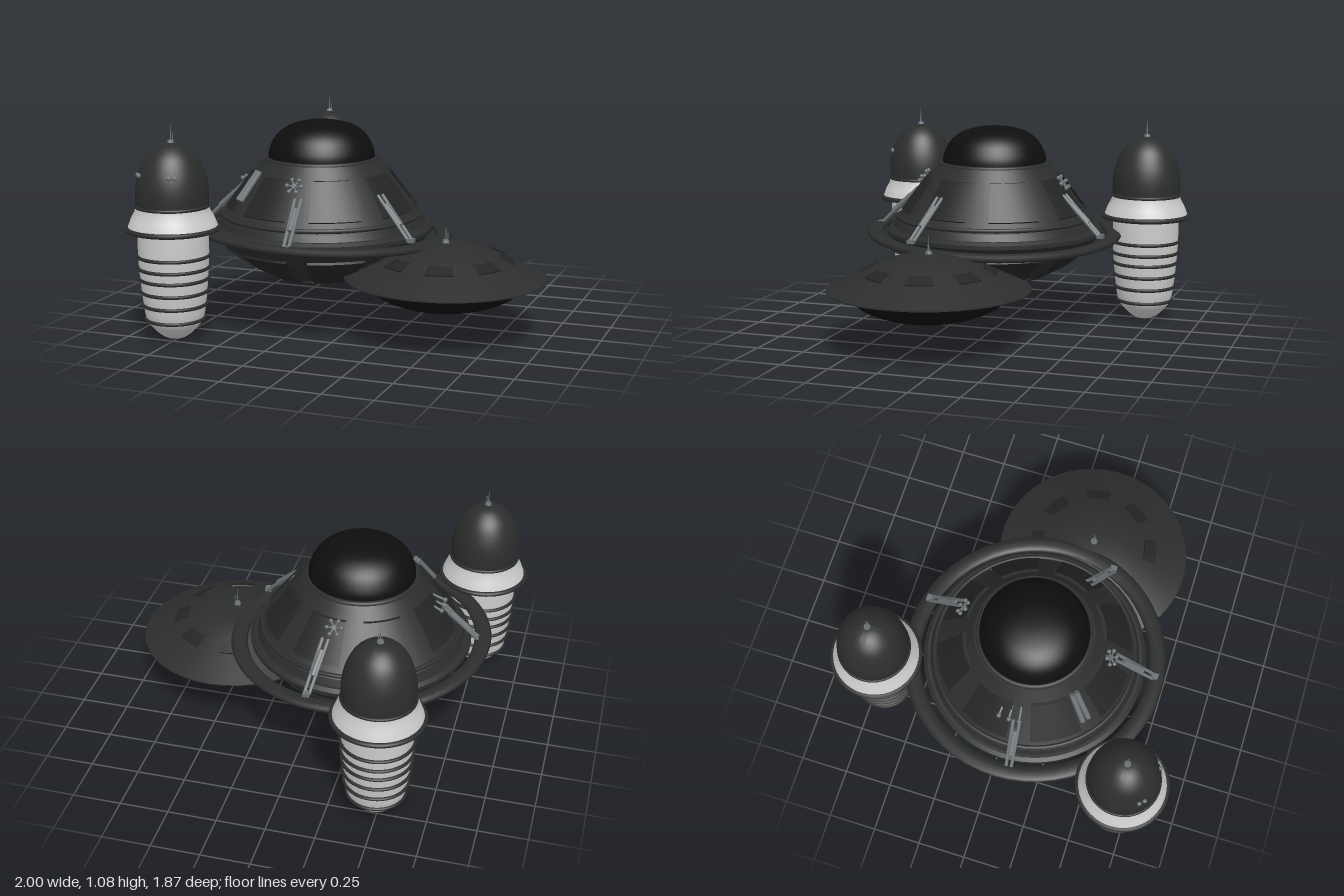
import * as THREE from 'three';
import { toCreasedNormals } from 'three/addons/utils/BufferGeometryUtils.js';

const paint = (color) => new THREE.MeshStandardMaterial({ color, side: THREE.DoubleSide });
const DEG = Math.PI / 180;

export function createModel() {
  const model = new THREE.Group();
  const grey = paint(0xcccccc), dark = paint(0x2b2e2d), panelMat = paint(0x232524);
  const black = paint(0x0e0e0e), steel = paint(0x6c7074);

  function add(parent, name, geometry, material, pos = [0, 0, 0]) {
    const mesh = new THREE.Mesh(geometry, material);
    mesh.name = name;
    mesh.position.set(...pos);
    parent.add(mesh);
    return mesh;
  }
  function group(parent, name, x = 0, y = 0, z = 0) {
    const g = new THREE.Group();
    g.name = name;
    g.position.set(x, y, z);
    parent.add(g);
    return g;
  }
  // Revolved profile, bottom to top; optional sector (centre and width in degrees from +x towards +z)
  function turned(points, segments = 48, centre = 0, width = 360) {
    const start = width < 360 ? (90 - centre - width / 2) * DEG : 0;
    const pts = points.map(([r, y]) => new THREE.Vector2(r, y));
    return toCreasedNormals(new THREE.LatheGeometry(pts, segments, start, width * DEG), 0.6);
  }
  // Smooth profile through a few points
  function smooth(points, n = 20) {
    const curve = new THREE.SplineCurve(points.map(([r, y]) => new THREE.Vector2(r, y)));
    return curve.getPoints(n).map((p) => [Math.max(p.x, 0), p.y]);
  }
  function hoop(parent, name, r, tube, y, material, flat = 1) {
    const geo = new THREE.TorusGeometry(r, tube, 10, 56).rotateX(Math.PI / 2).scale(1, flat, 1);
    return add(parent, name, geo, material, [0, y, 0]);
  }
  const polar = (r, deg, y) => new THREE.Vector3(r * Math.cos(deg * DEG), y, r * Math.sin(deg * DEG));
  function rod(parent, name, a, b, r, material, rTop = r) {
    const d = b.clone().sub(a);
    const mesh = add(parent, name, new THREE.CylinderGeometry(rTop, r, d.length(), 10), material);
    mesh.position.copy(a).add(b).multiplyScalar(0.5);
    mesh.quaternion.setFromUnitVectors(new THREE.Vector3(0, 1, 0), d.normalize());
    return mesh;
  }
  function antenna(parent, y, height) {
    const g = group(parent, 'antenna', 0, y, 0);
    add(g, 'antennaBase', new THREE.CylinderGeometry(0.014, 0.02, 0.02, 16), steel, [0, 0.005, 0]);
    rod(g, 'antennaMast', polar(0, 0, 0), polar(0, 0, height), 0.004, steel, 0.001);
    rod(g, 'antennaSideMast', polar(0.01, 0, 0), polar(0.01, 0, height * 0.55), 0.0025, steel);
  }

  // Main saucer hull
  const saucer = group(model, 'mainSaucer', -0.22, 0, 0.07);
  const bowl = [[0, 0.22], [0.12, 0.225], [0.26, 0.26], [0.4, 0.335], [0.5, 0.41], [0.56, 0.47]];
  add(saucer, 'lowerHull', turned(smooth(bowl), 64), dark);
  add(saucer, 'hullRim', turned([[0.56, 0.47], [0.575, 0.485], [0.575, 0.505], [0.555, 0.52],
    [0.54, 0.52], [0.525, 0.555]], 64), dark);
  add(saucer, 'upperHull', turned([[0.525, 0.555], [0.51, 0.57], [0.315, 0.83], [0.3, 0.85], [0.27, 0.85]], 64), dark);
  hoop(saucer, 'domeCollar', 0.28, 0.014, 0.85, dark);
  add(saucer, 'dome', turned(smooth([[0.275, 0.85], [0.27, 0.9], [0.235, 0.97], [0.17, 1.02], [0.08, 1.045], [0, 1.05]]), 56), black);
  hoop(saucer, 'hullBand', 0.515, 0.012, 0.57, dark);

  // Raised panels above, overlapping petals below
  for (let i = 0; i < 8; i++) {
    const a = 15 + i * 45;
    add(saucer, 'hullPanel', turned([[0.48, 0.6], [0.496, 0.61], [0.361, 0.79], [0.343, 0.79]], 10, a, 31), panelMat);
    add(saucer, 'lowerPetal', turned([[0.12, 0.228], [0.125, 0.214], [0.265, 0.248], [0.405, 0.322],
      [0.505, 0.4], [0.5, 0.415]], 10, a, 33), panelMat);
  }

  // Slightly tilted outer ring
  const ringTilt = group(saucer, 'outerRingTilt', 0, 0.485, 0);
  ringTilt.rotation.set(-0.026, 0, -0.04);
  hoop(ringTilt, 'outerRing', 0.637, 0.043, 0, dark, 0.5);

  // Struts from hull to ring
  for (const a of [-78, 84, 175, 24]) {
    for (const s of [-1, 1]) {
      rod(saucer, 'strutRod', polar(0.42, a + s * 2.2, 0.71), polar(0.625, a + s * 1.2, 0.51), 0.009, steel);
    }
    rod(saucer, 'strutSleeve', polar(0.46, a, 0.665), polar(0.56, a, 0.575), 0.017, steel);
    add(saucer, 'strutFoot', new THREE.BoxGeometry(0.035, 0.02, 0.035), steel, polar(0.63, a, 0.51).toArray());
  }
  // Front corner piston
  for (const s of [-1, 1]) {
    rod(saucer, 'pistonRod', polar(0.36, 130 + s * 2, 0.81), polar(0.47, 130 + s * 2, 0.67), 0.014, steel);
  }

  // Flower-shaped sensors on the slope
  for (const a of [88, -83]) {
    const flower = group(saucer, 'sensorFlower');
    flower.position.copy(polar(0.39, a, 0.765));
    flower.quaternion.setFromUnitVectors(new THREE.Vector3(0, 1, 0), polar(0.78, a, 0.62).normalize());
    add(flower, 'sensorStem', new THREE.CylinderGeometry(0.012, 0.016, 0.05, 12), steel, [0, -0.012, 0]);
    for (let i = 0; i < 6; i++) {
      rod(flower, 'sensorArm', polar(0, 0, 0.005), polar(0.035, i * 60, 0.01), 0.004, steel);
      add(flower, 'sensorBulb', new THREE.SphereGeometry(0.011, 10, 8), steel, polar(0.038, i * 60, 0.01).toArray());
    }
  }
  // Whip cluster on the right slope
  for (const a of [173, 180, 187]) {
    rod(saucer, 'whip', polar(0.36, a, 0.76), polar(0.43, a, 0.73), 0.006, steel);
    add(saucer, 'whipTip', new THREE.SphereGeometry(0.012, 10, 8), steel, polar(0.43, a, 0.73).toArray());
  }

  // Small side saucer
  const scout = group(model, 'sideSaucer', 0.49, 0, 0.18);
  add(scout, 'sideUpperHull', turned([[0.51, 0.303], [0.51, 0.309], [0.38, 0.37], [0.26, 0.425], [0.2, 0.452],
    [0.13, 0.47], [0.06, 0.478], [0, 0.48]], 40), dark);
  add(scout, 'sideLowerHull', turned(smooth([[0, 0.142], [0.12, 0.15], [0.25, 0.18], [0.35, 0.225],
    [0.4, 0.28], [0.405, 0.31], [0.385, 0.36]]), 48), black);
  for (let i = 0; i < 8; i++) {
    add(scout, 'sidePanel', turned([[0.34, 0.386], [0.342, 0.394], [0.276, 0.425], [0.272, 0.417]], 6, -12 + i * 45, 24), panelMat);
  }
  antenna(scout, 0.48, 0.09);

  // Two ribbed pods beside the ring
  for (const [name, x, z] of [['frontPod', -0.76, 0.695], ['rearPod', -0.483, -0.7]]) {
    const pod = group(model, name, x, 0, z);
    add(pod, 'podBody', turned(smooth([[0, 0], [0.05, 0.012], [0.1, 0.05], [0.14, 0.105], [0.155, 0.185],
      [0.167, 0.3], [0.175, 0.42], [0.175, 0.55]], 32)), grey);
    add(pod, 'podCollar', turned([[0.17, 0.55], [0.222, 0.575], [0.205, 0.62], [0.185, 0.655], [0.182, 0.68]]), grey);
    hoop(pod, 'podRing', 0.222, 0.016, 0.567, dark, 0.8);
    hoop(pod, 'podNeckRing', 0.178, 0.009, 0.68, dark);
    [[0.43, 0.177], [0.37, 0.174], [0.315, 0.17], [0.25, 0.164], [0.183, 0.157], [0.108, 0.143]]
      .forEach(([y, r]) => hoop(pod, 'podRib', r, 0.011, y, dark, 0.8));
    add(pod, 'podCap', turned(smooth([[0.18, 0.68], [0.18, 0.76], [0.165, 0.84], [0.13, 0.92],
      [0.08, 0.97], [0.035, 0.99], [0, 0.992]])), dark);
    antenna(pod, 0.99, 0.09);
  }

  // Small lamps on the front pod cap
  const frontPod = model.getObjectByName('frontPod');
  for (const a of [136, 62]) {
    for (const s of [-5, 5]) {
      add(frontPod, 'podLamp', new THREE.SphereGeometry(0.012, 10, 8), steel, polar(0.166, a + s, 0.84).toArray());
    }
  }
  return model;
}
